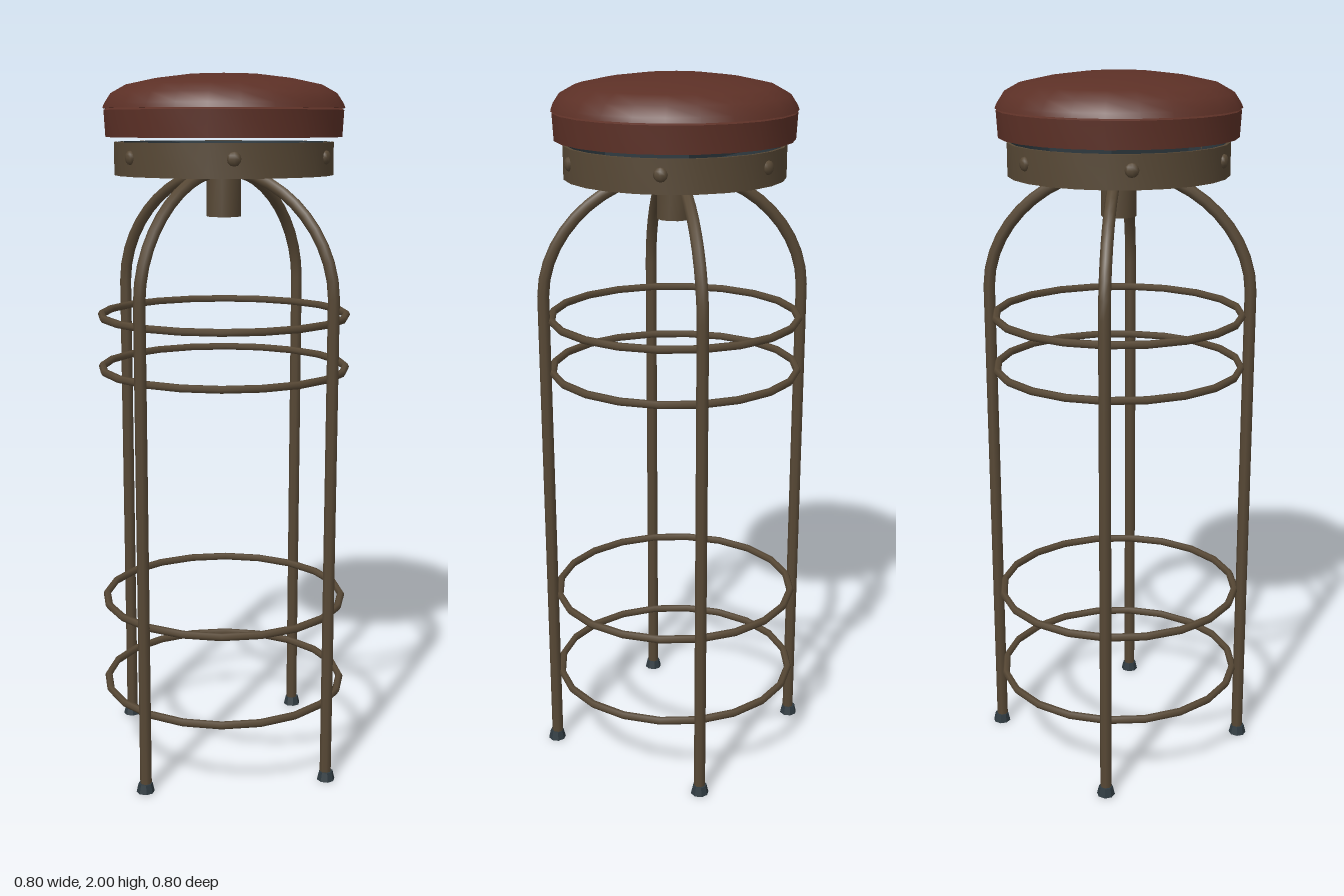
import * as THREE from 'three';
import { toCreasedNormals } from 'three/addons/utils/BufferGeometryUtils.js';

export function createModel() {
  const stool = new THREE.Group();
  stool.name = 'barStool';

  const material = (name, color, side = THREE.FrontSide) => {
    const m = new THREE.MeshStandardMaterial({ color, side });
    m.name = name;
    return m;
  };
  const leather = material('red leather', 0x5c3026);
  const bronze = material('aged bronze', 0x574835);
  const slate = material('dark slate metal', 0x2f3a40);

  const add = (name, geometry, mat, parent = stool) => {
    const mesh = new THREE.Mesh(geometry, mat);
    mesh.name = name;
    parent.add(mesh);
    return mesh;
  };
  const lathe = (points, segments) => toCreasedNormals(
    new THREE.LatheGeometry(points.map(([r, y]) => new THREE.Vector2(r, y)), segments), 0.7);

  // Padded seat: upright side wall and a domed cushion with a small lip
  add('seatSide', lathe([[0, 1.828], [0.328, 1.828], [0.332, 1.9], [0.32, 1.908], [0, 1.908]], 24), leather);
  add('seatCushion', lathe([
    [0, 1.905], [0.335, 1.905], [0.33, 1.918], [0.312, 1.945], [0.27, 1.968],
    [0.19, 1.985], [0.1, 1.996], [0, 2],
  ], 24), leather);

  // Metal band under the seat: bronze outside, dark inside
  add('seatBand', lathe([
    [0.296, 1.725], [0.305, 1.725], [0.305, 1.815], [0.296, 1.815],
  ], 24), bronze);
  add('bandLining', lathe([[0.295, 1.815], [0.295, 1.725]], 24), slate);
  const plate = add('mountingPlate', new THREE.BoxGeometry(0.27, 0.03, 0.27), slate);
  plate.position.y = 1.8;
  plate.rotation.y = Math.PI / 4;

  // Six domed bolts around the band
  for (let i = 0; i < 6; i++) {
    const angle = THREE.MathUtils.degToRad(12 + i * 60);
    const bolt = add('bandBolt', new THREE.SphereGeometry(0.019, 8, 6), bronze);
    bolt.scale.z = 0.6;
    bolt.position.set(Math.sin(angle) * 0.304, 1.775, Math.cos(angle) * 0.304);
    bolt.rotation.y = angle;
  }

  // Central swivel post
  const post = add('swivelPost',
    toCreasedNormals(new THREE.CylinderGeometry(0.049, 0.049, 0.19, 12), 0.7), bronze);
  post.position.y = 1.705;

  // Four legs that arch inwards to the post, each with a foot
  const legPath = new THREE.CurvePath();
  const bottom = new THREE.Vector3(0.37, 0.015, 0);
  const bend = new THREE.Vector3(0.37, 1.4, 0);
  legPath.add(new THREE.LineCurve3(bottom, bend));
  legPath.add(new THREE.CubicBezierCurve3(bend,
    new THREE.Vector3(0.37, 1.57, 0),
    new THREE.Vector3(0.21, 1.73, 0),
    new THREE.Vector3(0.02, 1.735, 0)));
  const legGeometry = new THREE.TubeGeometry(legPath, 40, 0.0165, 8);
  const footGeometry = toCreasedNormals(new THREE.CylinderGeometry(0.02, 0.026, 0.026, 8), 0.5);
  for (let i = 0; i < 4; i++) {
    const leg = new THREE.Group();
    leg.name = 'leg';
    leg.rotation.y = i * Math.PI / 2;
    stool.add(leg);
    add('legTube', legGeometry, bronze, leg);
    add('foot', footGeometry, slate, leg).position.set(0.372, 0.013, 0);
  }

  // Hoops joining the legs
  const hoopGeometry = new THREE.TorusGeometry(0.35, 0.011, 6, 20);
  for (const y of [0.228, 0.49, 1.182, 1.333]) {
    const hoop = add('legHoop', hoopGeometry, bronze);
    hoop.position.y = y;
    hoop.rotation.x = Math.PI / 2;
  }

  return stool;
}
